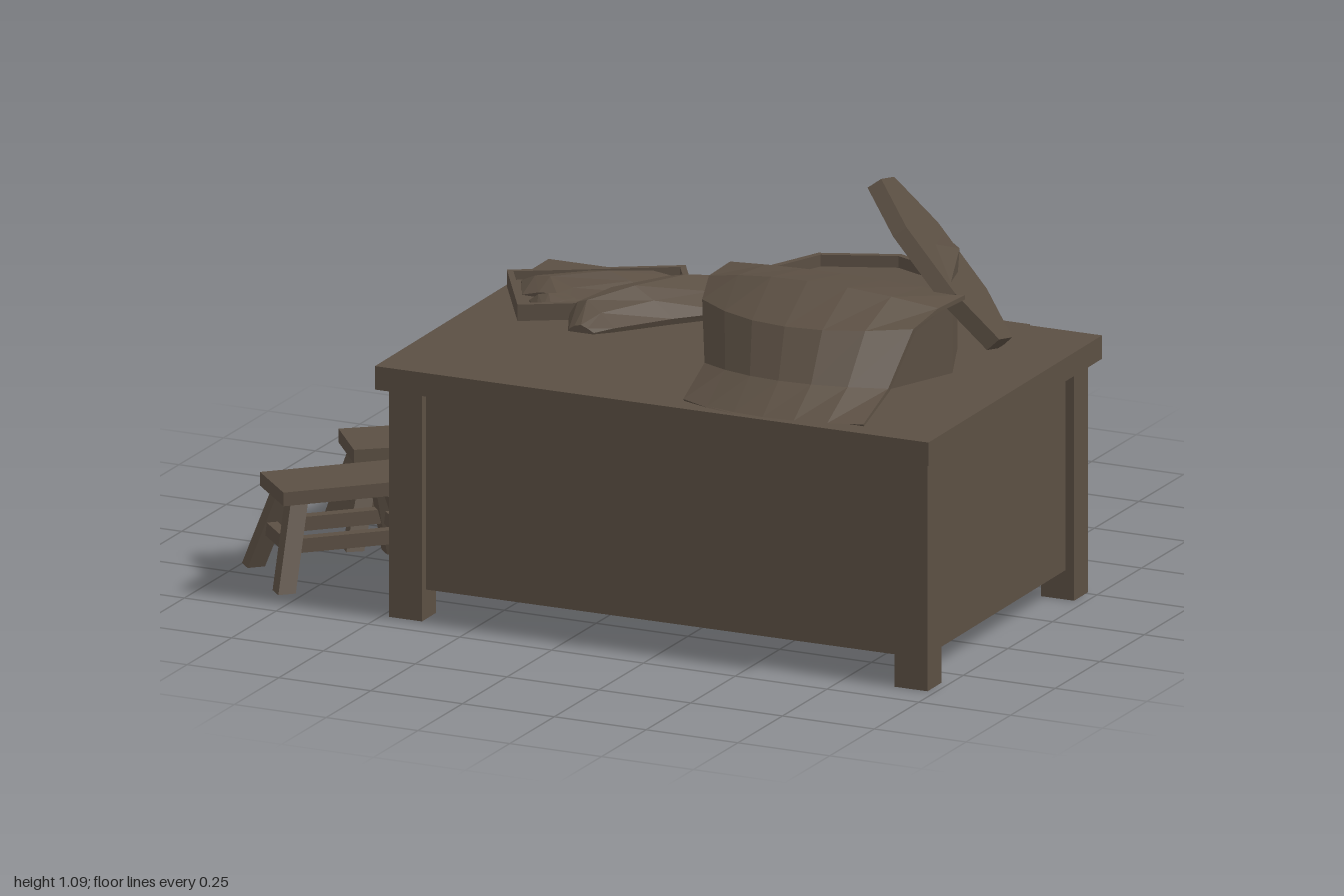
import * as THREE from 'three';

const wood = new THREE.MeshStandardMaterial({ color: 0x5b4f43, flatShading: true });
wood.name = 'dark brown';

function add(parent, name, geo, x = 0, y = 0, z = 0) {
  const m = new THREE.Mesh(geo, wood);
  m.name = name;
  m.position.set(x, y, z);
  parent.add(m);
  return m;
}
const box = (parent, name, w, h, d, x, y, z) => add(parent, name, new THREE.BoxGeometry(w, h, d), x, y, z);

function group(parent, name, x, y, z, ry = 0) {
  const g = new THREE.Group();
  g.name = name;
  g.position.set(x, y, z);
  g.rotation.y = ry;
  parent.add(g);
  return g;
}

// Closed skin over rings of points, each running left to right over the top and back underneath
function loft(rings) {
  const n = rings[0].length, pos = [];
  const tri = (...p) => p.forEach(v => pos.push(...v));
  for (let i = 0; i < rings.length - 1; i++) {
    for (let j = 0; j < n; j++) {
      const k = (j + 1) % n, a = rings[i][j], b = rings[i][k], c = rings[i + 1][k], d = rings[i + 1][j];
      tri(a, d, b);
      tri(b, d, c);
    }
  }
  const first = rings[0], last = rings[rings.length - 1];
  for (let j = 1; j < n - 1; j++) {
    tri(first[0], first[j], first[j + 1]);
    tri(last[0], last[j + 1], last[j]);
  }
  const g = new THREE.BufferGeometry();
  g.setAttribute('position', new THREE.Float32BufferAttribute(pos, 3));
  g.computeVertexNormals();
  return g;
}

// Low faceted heap; each section is [leftX, leftZ, rightX, rightZ, height, ridge position]
function mound(sections, y) {
  return loft(sections.map(([lx, lz, rx, rz, h, r]) => {
    const at = (t, k) => [lx + (rx - lx) * t, y + h * k, lz + (rz - lz) * t];
    return [at(0, 0), at(0.03, 0.3), at(r * 0.5, 0.8), at(r, 1), at((1 + r) / 2, 0.65), at(1, 0.2), at(0.97, 0)];
  }));
}

// Square bar between two points, with level ends
function bar(parent, name, a, b, s) {
  const g = new THREE.BoxGeometry(s, b[1] - a[1], s), p = g.attributes.position;
  for (let i = 0; i < p.count; i++) {
    const e = p.getY(i) > 0 ? b : a;
    p.setXYZ(i, p.getX(i) + e[0], e[1], p.getZ(i) + e[2]);
  }
  g.computeVertexNormals();
  add(parent, name, g);
}

function stool(parent, x, z, ry) {
  const g = group(parent, 'stool', x, 0, z, ry);
  box(g, 'stoolSeat', 0.345, 0.035, 0.183, 0, 0.2275, 0);
  for (const sx of [-1, 1]) {
    for (const sz of [-1, 1])
      bar(g, 'stoolLeg', [sx * 0.18, 0, sz * 0.12], [sx * 0.125, 0.21, sz * 0.05], 0.045);
    box(g, 'stoolEndRail', 0.028, 0.036, 0.16, sx * 0.153, 0.107, 0);
    box(g, 'stoolSideRail', 0.29, 0.036, 0.028, 0, 0.107, sx * 0.086);
  }
}

export function createModel() {
  const model = new THREE.Group();
  model.name = 'workTableWithStools';

  // Table, open underneath, with thin panels set back between the legs
  const table = group(model, 'table', 0.245, 0, 0.206, 0.01);
  box(table, 'tableTop', 1.5, 0.06, 0.995, 0, 0.62, 0);
  for (const s of [-1, 1]) {
    for (const sz of [-1, 1]) box(table, 'tableLeg', 0.09, 0.59, 0.08, s * 0.685, 0.295, sz * 0.42);
    box(table, s > 0 ? 'frontPanel' : 'backPanel', 1.3, 0.515, 0.012, 0, 0.3325, s * 0.43);
    box(table, 'sidePanel', 0.012, 0.515, 0.78, s * 0.7, 0.3325, 0);
  }

  // Board leaning against the back
  const board = group(model, 'leaningBoard', 0.255, 0.445, -0.315, 0.006);
  box(board, 'board', 1.07, 0.41, 0.008, 0, 0, 0).rotation.x = 0.075;

  // Stools
  stool(model, 0.315, -0.545, 0.17);
  stool(model, -0.738, -0.005, 0.66);
  stool(model, -0.757, 0.385, 0.77);

  // Six-sided cup with a pointed hollow
  const v = (x, y) => new THREE.Vector2(x, y);
  add(model, 'cup', new THREE.LatheGeometry(
    [v(0, 0), v(0.07, 0), v(0.074, 0.12), v(0.07, 0.12), v(0, 0.03)], 6), 0.188, 0.65, 0.03)
    .rotation.y = Math.PI / 6;

  // Eight-sided tub, filled to just below the rim
  add(model, 'tub', new THREE.LatheGeometry(
    [v(0, 0), v(0.268, 0), v(0.268, 0.195), v(0.25, 0.195), v(0.25, 0.165), v(0, 0.165)], 8), 0.53, 0.65, 0.145);

  // Lid propped against the tub
  const lid = group(model, 'lid', 0.677, 0.866, -0.036);
  const nrm = new THREE.Vector3(0.695, 0.61, -0.38).normalize();
  const side = new THREE.Vector3(0.39, -0.32, 0.2);
  side.addScaledVector(nrm, -side.dot(nrm)).normalize();
  const cross = side.clone().cross(nrm);
  lid.quaternion.setFromRotationMatrix(new THREE.Matrix4().makeBasis(side, nrm, cross));
  add(lid, 'lidDisc', new THREE.CylinderGeometry(0.265, 0.268, 0.04, 8));
  // Pointed grip, level across the lid
  const grip = add(lid, 'lidGrip', new THREE.OctahedronGeometry(1), 0, 0.02, 0);
  grip.scale.set(0.205, 0.04, 0.045);
  const along = new THREE.Vector3(0.48, 0, 0.877);
  grip.rotation.y = Math.atan2(-along.dot(cross), along.dot(side));

  // Thin cloth draped over the front of the tub:
  // [edge z, middle z, edge y, middle y, left x, right x, under dy, under dz]
  const drape = [
    [0.16, 0.19, 0.86, 0.88, 0.20, 0.84, -0.012, 0],
    [0.29, 0.38, 0.86, 0.913, 0.205, 0.83, -0.012, 0],
    [0.41, 0.54, 0.838, 0.842, 0.245, 0.82, -0.01, -0.01],
    [0.51, 0.61, 0.71, 0.725, 0.30, 0.80, -0.008, -0.01],
    [0.65, 0.71, 0.657, 0.66, 0.31, 0.80, -0.006, -0.005],
  ].map(([ze, zm, ye, ym, xl, xr, dy, dz]) => {
    const top = [], under = [];
    for (let j = 0; j <= 6; j++) {
      const t = j / 6, k = 1 - Math.pow(2 * t - 1, 2), x = xl + (xr - xl) * t;
      const y = ye + (ym - ye) * k, z = ze + (zm - ze) * k;
      top.push([x, y, z]);
      under.unshift([x, y + dy, z + dz]);
    }
    return [...top, ...under];
  });
  add(model, 'drapedCloth', loft(drape));

  // Tray with a raised rim
  const tray = group(model, 'tray', -0.235, 0.65, -0.015, 0.54);
  box(tray, 'trayBase', 0.43, 0.02, 0.285, 0, 0.012, 0);
  for (const s of [-1, 1]) {
    box(tray, 'trayLongRim', 0.44, 0.042, 0.015, 0, 0.023, s * 0.14);
    box(tray, 'trayShortRim', 0.015, 0.042, 0.265, s * 0.2125, 0.023, 0);
  }

  // Cloth bundle lying across the tray
  add(model, 'clothBundle', mound([
    [-0.04, -0.285, 0.10, -0.25, 0.02, 0.4],
    [-0.09, -0.20, 0.155, -0.13, 0.06, 0.5],
    [-0.15, -0.10, 0.12, -0.03, 0.082, 0.45],
    [-0.24, 0.05, 0.01, 0.09, 0.082, 0.55],
    [-0.25, 0.14, -0.09, 0.21, 0.06, 0.4],
    [-0.20, 0.245, -0.13, 0.245, 0.02, 0.5],
  ], 0.652));

  // Crumpled scraps on the tray
  add(model, 'flatScrap', mound([
    [-0.24, -0.16, -0.08, -0.20, 0.03, 0.4],
    [-0.36, -0.08, -0.12, -0.06, 0.05, 0.5],
    [-0.46, -0.02, -0.22, 0.05, 0.04, 0.4],
    [-0.41, 0.08, -0.24, 0.09, 0.025, 0.6],
  ], 0.665));
  add(model, 'smallScrap', mound([
    [-0.37, 0.08, -0.24, 0.07, 0.025, 0.6],
    [-0.37, 0.12, -0.23, 0.12, 0.035, 0.4],
    [-0.32, 0.18, -0.25, 0.15, 0.02, 0.5],
  ], 0.665));

  return model;
}
